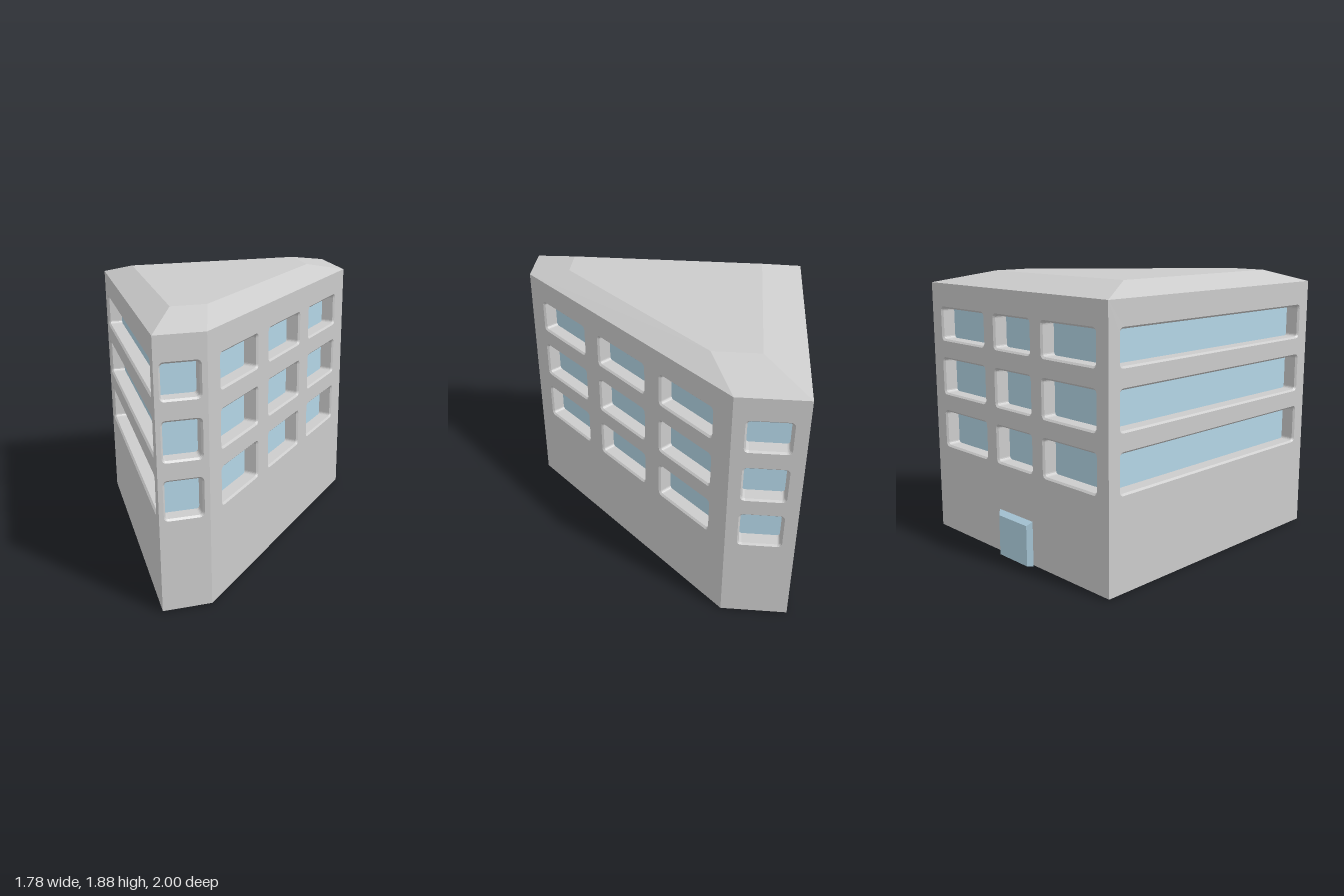
import * as THREE from 'three';

const wallMat = new THREE.MeshStandardMaterial({ color: 0xcccccc });
const glassMat = new THREE.MeshStandardMaterial({ color: 0xb3d5e6 });

const BASE = 0.01, EAVES = 1.795, TOP = 1.88; // heights
const DEPTH = 0.1, BEVEL = 0.012;             // window recess
const ROWS = [[0.63, 0.9], [1.012, 1.28], [1.395, 1.635]];

// Plan corners as [x, z], counter-clockwise from above
const PLAN = [[-0.89, -0.97], [-0.89, 1], [-0.57, 1], [0.89, -0.51], [0.89, -0.97]];
const RIDGE = [[-0.72, -0.68], [-0.72, 0.69], [-0.49, 0.69], [0.53, -0.36], [0.53, -0.68]];

// Window spans along each wall, following the order of PLAN
const WALLS = [
  { name: 'ribbonWall', spans: [[0.09, 1.88]] },
  { name: 'frontWall', spans: [[0.03, 0.285]] },
  { name: 'diagonalWall', spans: [[0.144, 0.647], [0.791, 1.295], [1.439, 1.942]] },
  { name: 'sideWall', spans: [[0.08, 0.375]] },
  { name: 'backWall', spans: [[0.1, 0.6], [0.7, 1.08], [1.18, 1.68]] },
];

function mesh(name, geometry, material) {
  const m = new THREE.Mesh(geometry, material);
  m.name = name;
  return m;
}

// Flat-faced skin through rings of [x, y, z] points, optionally capped at the end
function loft(rings, cap = false) {
  const pos = [];
  const tri = (...pts) => pts.forEach((p) => pos.push(...p));
  for (let k = 0; k + 1 < rings.length; k++) {
    const a = rings[k], b = rings[k + 1];
    for (let i = 0; i < a.length; i++) {
      const j = (i + 1) % a.length;
      tri(a[i], a[j], b[j]);
      tri(a[i], b[j], b[i]);
    }
  }
  if (cap) {
    const e = rings[rings.length - 1];
    for (let i = 1; i + 1 < e.length; i++) tri(e[0], e[i], e[i + 1]);
  }
  const g = new THREE.BufferGeometry();
  g.setAttribute('position', new THREE.Float32BufferAttribute(pos, 3));
  g.computeVertexNormals();
  return g;
}

// Rounded rectangle outline as Vector2 points, counter-clockwise
function roundedRect([u0, u1], [v0, v1], inset, r) {
  const corners = [[u1, v0, -1, 1], [u1, v1, -1, -1], [u0, v1, 1, -1], [u0, v0, 1, 1]];
  const pts = [];
  corners.forEach(([u, v, su, sv], c) => {
    for (let k = 0; k <= 4; k++) {
      const t = (c - 1 + k / 4) * Math.PI / 2;
      pts.push(new THREE.Vector2(
        u + su * (inset + r) + r * Math.cos(t), v + sv * (inset + r) + r * Math.sin(t)));
    }
  });
  return pts;
}

// One wall in its own frame: x along the wall, y up, z outward
function buildWall({ name, spans }, a, b) {
  const group = new THREE.Group();
  group.name = name;
  const length = Math.hypot(b[0] - a[0], b[1] - a[1]);
  group.position.set(a[0], 0, a[1]);
  group.rotation.y = Math.atan2(a[1] - b[1], b[0] - a[0]);

  const face = new THREE.Shape([[0, BASE], [length, BASE], [length, EAVES], [0, EAVES]]
    .map((p) => new THREE.Vector2(...p)));
  for (const row of ROWS) {
    for (const span of spans) {
      const outer = roundedRect(span, row, 0, 0.03);
      const inner = roundedRect(span, row, BEVEL, 0.02);
      face.holes.push(new THREE.Path(outer));
      const ring = (pts, z) => pts.map((p) => [p.x, p.y, z]);
      group.add(mesh('windowRecess',
        loft([ring(outer, 0), ring(inner, -BEVEL), ring(inner, -DEPTH)]), wallMat));
      const pane = mesh('windowGlass', new THREE.ShapeGeometry(new THREE.Shape(inner)), glassMat);
      pane.position.z = -DEPTH;
      group.add(pane);
    }
  }
  group.add(mesh('wallFace', new THREE.ShapeGeometry(face), wallMat));
  return group;
}

export function createModel() {
  const model = new THREE.Group();
  model.name = 'building';

  // Walls with recessed windows
  WALLS.forEach((w, i) => model.add(buildWall(w, PLAN[i], PLAN[(i + 1) % PLAN.length])));

  // Hipped roof with a flat top
  const level = (plan, y) => plan.map(([x, z]) => [x, y, z]);
  model.add(mesh('roof', loft([level(PLAN, EAVES), level(RIDGE, TOP)], true), wallMat));

  // Underside
  model.add(mesh('floor', loft([level(PLAN, BASE).reverse()], true), wallMat));

  // Door block with chamfered top and sides on the back wall
  const doorRing = (w, h, z) => [[-w, 0, z], [w, 0, z], [w, h, z], [-w, h, z]];
  const door = mesh('door', loft([doorRing(0.175, 0.31, 0), doorRing(0.145, 0.28, 0.03)], true), glassMat);
  door.position.z = -0.97;
  door.rotation.y = Math.PI;
  model.add(door);

  return model;
}
